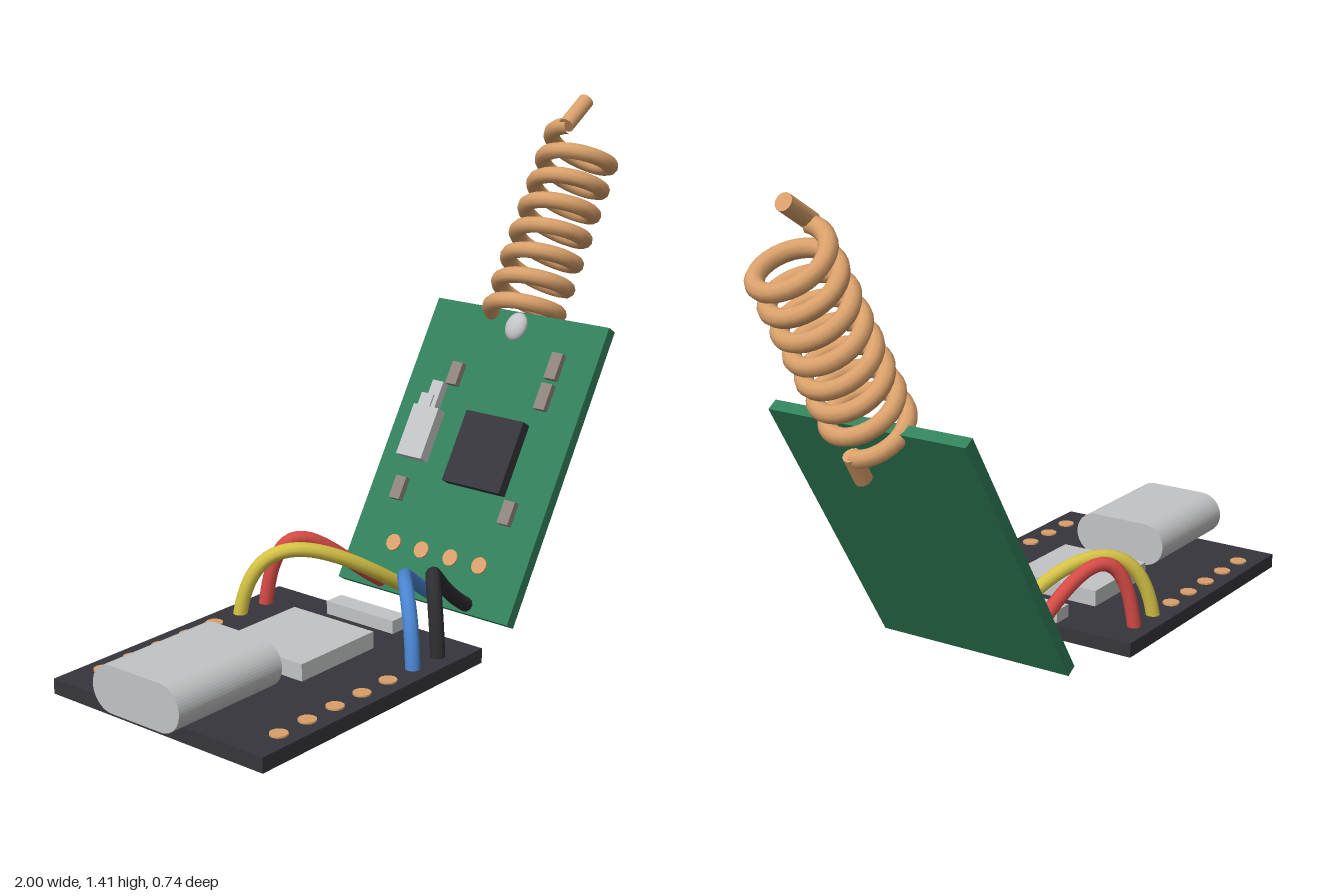
import * as THREE from 'three';

const mat = (name, color) => Object.assign(new THREE.MeshStandardMaterial({ color }), { name });

export function createModel() {
  const M = {
    dark: mat('dark board', 0x36353b),
    green: mat('green board', 0x32805a),
    copper: mat('copper', 0xd9a06a),
    silver: mat('silver', 0xc2c3c4),
    cap: mat('component grey', 0x8f857c),
    red: mat('red wire', 0xd64b46),
    yellow: mat('yellow wire', 0xd6c345),
    blue: mat('blue wire', 0x4a85d2),
    black: mat('black wire', 0x2e2d31),
  };
  const root = new THREE.Group();
  root.name = 'radioModule';

  const add = (parent, name, geo, material, x = 0, y = 0, z = 0) => {
    const m = new THREE.Mesh(geo, material);
    m.name = name;
    m.position.set(x, y, z);
    parent.add(m);
    return m;
  };
  // box given by its extents along each axis
  const box = (parent, name, material, [x0, x1], [y0, y1], [z0, z1]) =>
    add(parent, name, new THREE.BoxGeometry(x1 - x0, y1 - y0, z1 - z0), material,
      (x0 + x1) / 2, (y0 + y1) / 2, (z0 + z1) / 2);
  const pad = (parent, x, y, z) =>
    add(parent, 'solderPad', new THREE.CylinderGeometry(0.025, 0.025, 0.008, 12), M.copper, x, y, z);

  // flat controller board
  const base = new THREE.Group();
  base.name = 'controllerBoard';
  root.add(base);
  box(base, 'basePlate', M.dark, [-0.94, -0.07], [0, 0.042], [-0.37, 0.37]);
  box(base, 'processorShield', M.silver, [-0.545, -0.255], [0.042, 0.09], [-0.143, 0.143]);
  box(base, 'ceramicAntenna', M.silver, [-0.145, -0.083], [0.042, 0.08], [-0.12, 0.12]);
  for (const side of [-1, 1])
    for (let i = 0; i < 5; i++) pad(base, -0.82 + i * 0.105, 0.043, side * 0.313);

  // rounded connector shell lying along x
  const r = 0.065, half = 0.152 - r;
  const shell = new THREE.Shape();
  shell.absarc(half, 0, r, -Math.PI / 2, Math.PI / 2);
  shell.absarc(-half, 0, r, Math.PI / 2, Math.PI * 1.5);
  const plug = add(base, 'connectorShell',
    new THREE.ExtrudeGeometry(shell, { depth: 0.37, bevelEnabled: false, curveSegments: 12 }),
    M.silver, -1, 0.11, 0);
  plug.rotation.y = Math.PI / 2;

  // tilted radio board: local x runs up the board, local y out of its face
  const radio = new THREE.Group();
  radio.name = 'radioBoard';
  radio.position.set(0.38, 0.404, 0);
  radio.rotation.z = THREE.MathUtils.degToRad(58);
  root.add(radio);
  const f = 0.0175;
  box(radio, 'radioPlate', M.green, [-0.4515, 0.4515], [-f, f], [-0.31, 0.31]);
  box(radio, 'radioChip', M.dark, [-0.1, 0.12], [f, 0.052], [-0.045, 0.16]);
  box(radio, 'crystal', M.silver, [-0.055, 0.105], [f, 0.055], [-0.235, -0.142]);
  box(radio, 'crystalNeck', M.silver, [0.105, 0.145], [f, 0.05], [-0.225, -0.18]);
  box(radio, 'crystalLead', M.silver, [0.105, 0.19], [f, 0.045], [-0.205, -0.165]);
  const parts = [[-0.15, -0.2, 0.07], [0.225, -0.145, 0.07], [-0.145, 0.195, 0.07],
    [0.21, 0.183, 0.08], [0.305, 0.183, 0.08]];
  for (const [x, z, len] of parts)
    box(radio, 'smallComponent', M.cap, [x - len / 2, x + len / 2], [f, 0.038], [z - 0.019, z + 0.019]);
  for (const z of [-0.157, -0.053, 0.053, 0.157]) pad(radio, -0.31, f + 0.002, z);
  add(radio, 'solderBlob', new THREE.SphereGeometry(0.045, 16, 10), M.silver, 0.405, f, 0)
    .scale.set(1, 0.55, 0.8);

  // coil antenna following the board's direction
  const turns = 7.5, R = 0.1, w = 0.0245, u0 = 0.415, u1 = 1.02, v0 = 0.008;
  class Helix extends THREE.Curve {
    getPoint(t, target = new THREE.Vector3()) {
      const a = t * turns * Math.PI * 2;
      return target.set(u0 + (u1 - u0) * t, v0 - R * Math.cos(a), -R * Math.sin(a));
    }
  }
  add(radio, 'antennaCoil', new THREE.TubeGeometry(new Helix(), 220, w, 10), M.copper);
  const stub = (name, a, b) => {
    const d = new THREE.Vector3().subVectors(b, a);
    const m = add(radio, name, new THREE.CylinderGeometry(w, w, d.length(), 12), M.copper);
    m.position.addVectors(a, b).multiplyScalar(0.5);
    m.quaternion.setFromUnitVectors(new THREE.Vector3(0, 1, 0), d.normalize());
  };
  stub('lowerAntennaStub', new THREE.Vector3(0.34, v0 - R, 0), new THREE.Vector3(0.43, v0 - R, 0));
  stub('upperAntennaStub', new THREE.Vector3(1.015, 0.12, 0), new THREE.Vector3(1.122, 0.067, 0));

  // arched jumper wires between the boards
  const wire = (name, material, outer, side) => {
    const z0 = 0.313 * side, z1 = 0.28 * side, z2 = (outer ? 0.157 : 0.053) * side;
    const pts = outer
      ? [[-0.19, 0.03, z0], [-0.17, 0.4, z1], [-0.07, 0.18, z2], [0.15, 0.045, z2]]
      : [[-0.297, 0.03, z0], [-0.265, 0.37, z1], [-0.1, 0.2, z2], [0.15, 0.045, z2]];
    const curve = new THREE.CubicBezierCurve3(...pts.map((p) => new THREE.Vector3(...p)));
    add(root, name, new THREE.TubeGeometry(curve, 32, 0.021, 10), material);
  };
  wire('redWire', M.red, true, -1);
  wire('yellowWire', M.yellow, false, -1);
  wire('blueWire', M.blue, false, 1);
  wire('blackWire', M.black, true, 1);

  return root;
}
